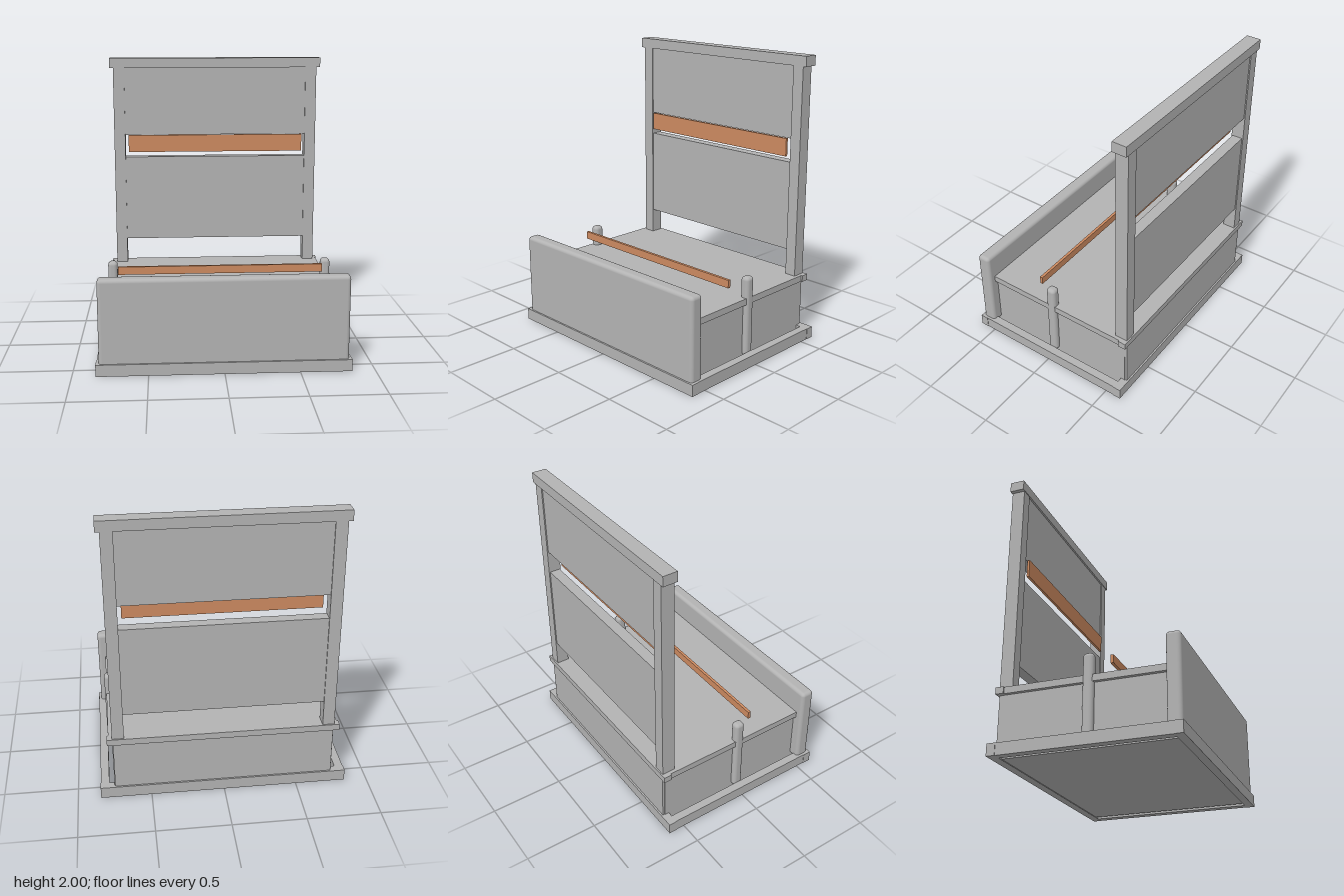
import * as THREE from 'three';
import { RoundedBoxGeometry } from 'three/addons/geometries/RoundedBoxGeometry.js';

export function createModel() {
  const model = new THREE.Group();
  model.name = 'benchCabinet';

  const grey = new THREE.MeshStandardMaterial({ color: 0xb3b3b3 });
  grey.name = 'grey';
  const copper = new THREE.MeshStandardMaterial({ color: 0xcc8a60 });
  copper.name = 'copper';

  // Box given by its minimum and maximum on each axis; a radius rounds its edges
  function block(name, [x0, x1], [y0, y1], [z0, z1], material = grey, radius = 0) {
    const size = [x1 - x0, y1 - y0, z1 - z0];
    const geometry = radius
      ? new RoundedBoxGeometry(...size, 4, radius)
      : new THREE.BoxGeometry(...size);
    const mesh = new THREE.Mesh(geometry, material);
    mesh.name = name;
    mesh.position.set((x0 + x1) / 2, (y0 + y1) / 2, (z0 + z1) / 2);
    model.add(mesh);
  }

  // Plinth: front and back rails, side rails fitted between them
  block('plinthFront', [-0.845, 0.845], [0, 0.08], [0.56, 0.617]);
  block('plinthBack', [-0.845, 0.845], [0, 0.08], [-0.617, -0.56]);

  // Chest body with its back panel
  block('chestBody', [-0.75, 0.75], [0.005, 0.42], [-0.59, 0.56]);
  block('chestBack', [-0.745, 0.745], [0.005, 0.42], [-0.605, -0.59]);

  // Chest lid with a slightly wider back edge
  block('lid', [-0.775, 0.775], [0.42, 0.465], [-0.56, 0.51]);
  block('lidBackEdge', [-0.785, 0.785], [0.42, 0.465], [-0.615, -0.56]);

  // Rounded front board
  block('frontBoard', [-0.825, 0.825], [0.05, 0.65], [0.51, 0.605], grey, 0.025);

  // Mirrored side parts
  for (const [side, s] of [['left', 1], ['right', -1]]) {
    const span = (a, b) => (s > 0 ? [a, b] : [-b, -a]);
    block(side + 'PlinthRail', span(0.785, 0.842), [0, 0.08], [-0.56, 0.56]);
    block(side + 'Peg', span(0.72, 0.785), [0.05, 0.61], [-0.033, 0.037], grey, 0.025);
    block(side + 'BackPost', span(0.67, 0.75), [0.465, 1.93], [-0.605, -0.515]);
  }

  // Tall back: two recessed panels with a slot between them, and a top beam
  block('upperBackPanel', [-0.67, 0.67], [1.435, 1.93], [-0.597, -0.523]);
  block('lowerBackPanel', [-0.67, 0.67], [0.645, 1.27], [-0.597, -0.523]);
  block('topBeam', [-0.777, 0.777], [1.93, 2], [-0.61, -0.51]);

  // Copper bars
  block('backBar', [-0.645, 0.645], [1.31, 1.435], [-0.517, -0.5], copper);
  block('seatBar', [-0.71, 0.71], [0.55, 0.605], [0.123, 0.143], copper);

  return model;
}
